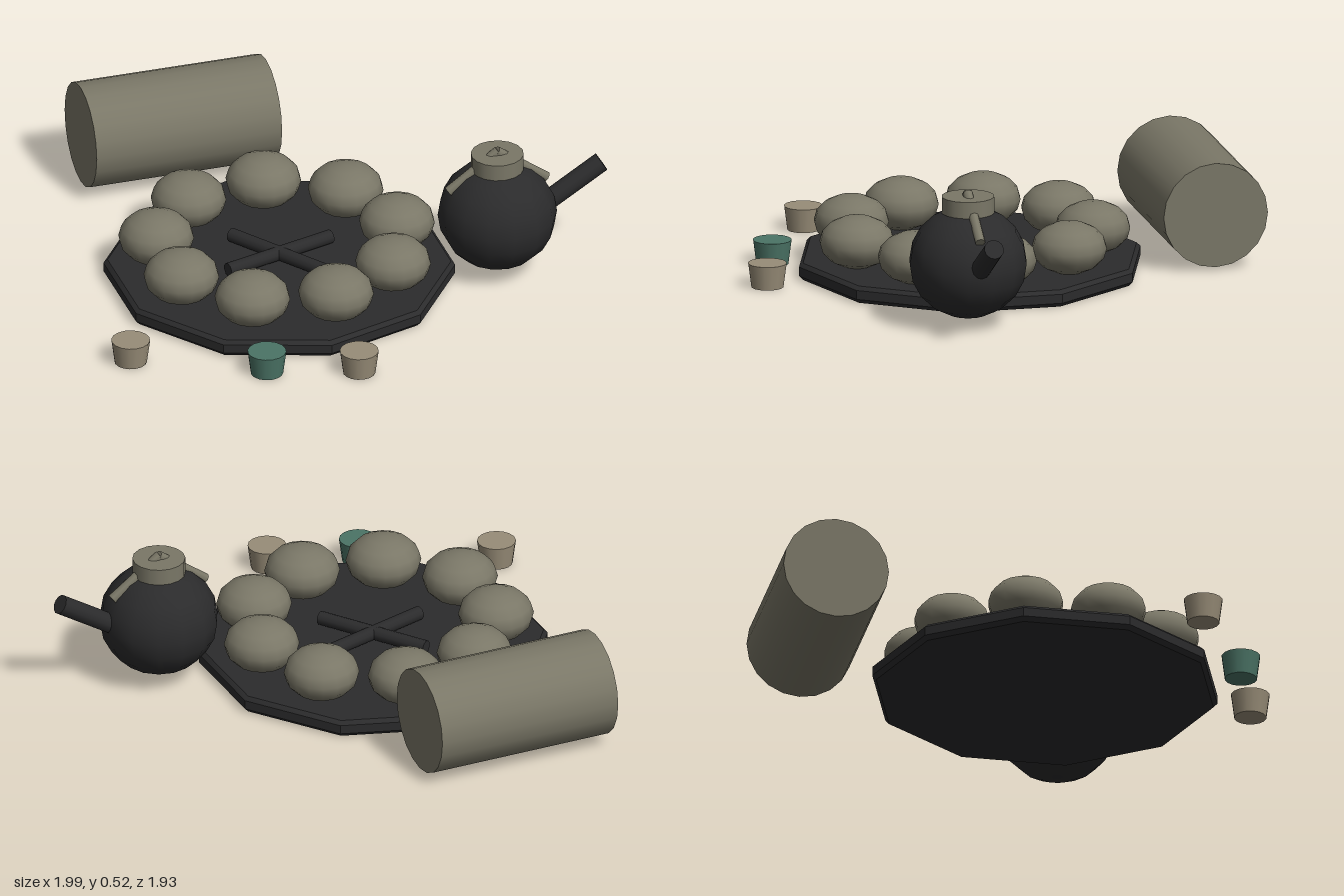
import * as THREE from 'three';
import { toCreasedNormals } from 'three/addons/utils/BufferGeometryUtils.js';

const mat = (name, color) => new THREE.MeshStandardMaterial({ name, color });

export function createModel() {
  const charcoal = mat('charcoal', 0x2b2b2c);
  const stone = mat('stone', 0x7a7767);
  const clay = mat('clay', 0x988d78);
  const teal = mat('teal', 0x4b7466);

  const model = new THREE.Group();
  model.name = 'campfireSet';

  const add = (parent, name, geometry, material, x = 0, y = 0, z = 0) => {
    const mesh = new THREE.Mesh(geometry, material);
    mesh.name = name;
    mesh.position.set(x, y, z);
    parent.add(mesh);
    return mesh;
  };

  // Round bar running between two points
  const bar = (parent, name, a, b, r, material, sides = 10) => {
    const from = new THREE.Vector3(...a), to = new THREE.Vector3(...b);
    const dir = to.clone().sub(from);
    const mesh = add(parent, name, new THREE.CylinderGeometry(r, r, dir.length(), sides), material);
    mesh.position.copy(from).add(to).multiplyScalar(0.5);
    mesh.quaternion.setFromUnitVectors(new THREE.Vector3(0, 1, 0), dir.normalize());
    return mesh;
  };

  // Fire pit: ten-sided base, ring of stones, crossed sticks
  const pit = new THREE.Group();
  pit.name = 'firePit';
  pit.position.set(-0.21, 0, 0.107);
  model.add(pit);

  const profile = [[0, 0], [0.634, 0], [0.649, 0.016], [0.649, 0.05], [0.634, 0.064], [0, 0.064]]
    .map(([x, y]) => new THREE.Vector2(x, y));
  add(pit, 'base', toCreasedNormals(new THREE.LatheGeometry(profile, 10), 0.5), charcoal);

  const stoneGeometry = new THREE.SphereGeometry(0.14, 16, 8).scale(1, 0.7, 1);
  for (let i = 0; i < 9; i++) {
    const a = (i / 9) * Math.PI * 2;
    add(pit, 'stone', stoneGeometry, stone, Math.cos(a) * 0.455, 0.155, Math.sin(a) * 0.455);
  }
  for (const [x, z] of [[0.219, -0.065], [0.128, 0.187]]) {
    bar(pit, 'stick', [-x, 0.095, -z], [x, 0.095, z], 0.026, charcoal);
  }

  // Log seat lying behind the pit
  bar(model, 'logSeat', [-0.702, 0.209, -0.773], [0.015, 0.209, -0.773], 0.198, stone, 20);

  // Kettle with lid, spout and peaked handle
  const kettle = new THREE.Group();
  kettle.name = 'kettle';
  kettle.position.set(0.571, 0, 0.306);
  model.add(kettle);

  const body = new THREE.SphereGeometry(0.221, 14, 10).scale(1, 0.95, 1).rotateY(Math.PI / 2);
  add(kettle, 'kettleBody', body, charcoal, 0, 0.242, 0);
  add(kettle, 'kettleLid', new THREE.CylinderGeometry(0.098, 0.098, 0.062, 16), stone, 0, 0.461, 0);
  bar(kettle, 'spout', [0.13, 0.22, 0], [0.403, 0.39, 0], 0.037, charcoal, 12);
  for (const s of [-1, 1]) {
    bar(kettle, 'handle', [s * 0.19, 0.362, 0], [s * -0.003, 0.502, 0], 0.019, stone, 8);
  }

  // Cups in front of the pit
  const cupGeometry = new THREE.CylinderGeometry(0.072, 0.06, 0.091, 16);
  for (const [x, z, material] of [[-0.928, 0.563, clay], [-0.473, 0.793, teal], [-0.147, 0.892, clay]]) {
    add(model, 'cup', cupGeometry, material, x, 0.0455, z);
  }

  return model;
}
